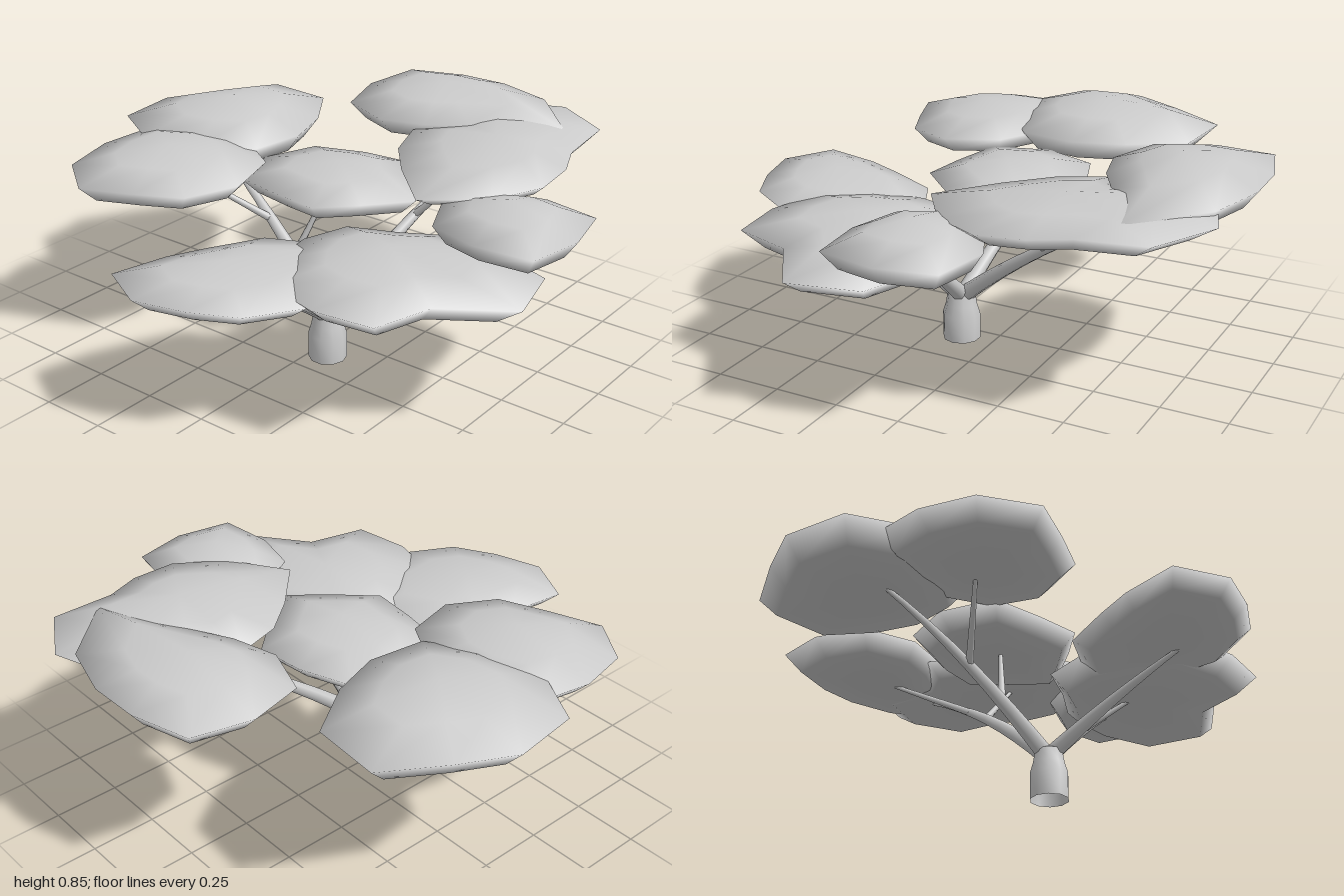
import * as THREE from 'three';
import { toCreasedNormals } from 'three/addons/utils/BufferGeometryUtils.js';

const material = new THREE.MeshStandardMaterial({ color: 0xcccccc, side: THREE.DoubleSide });
const FORK = new THREE.Vector3(-0.125, 0.17, 0.068);

function add(group, name, geometry) {
  const mesh = new THREE.Mesh(geometry, material);
  mesh.name = name;
  group.add(mesh);
}

// Flat-bottomed dome of foliage. Radii are spaced evenly around the peak,
// clockwise from the back, and scaled through a few levels up to the peak.
function foliageLobe([px, py, pz], bottom, radii, tilt = 0) {
  const n = radii.length;
  const rim = bottom + (py - bottom) * 0.48;
  const levels = [[0.4, bottom], [0.82, bottom + 0.008], [1, rim], [0.55, rim + (py - rim) * 0.58]];
  const positions = [], index = [];
  for (const [scale, y] of levels) {
    radii.forEach((radius, i) => {
      const angle = (i / n) * Math.PI * 2;
      const dx = radius * scale * Math.sin(angle);
      positions.push(px + dx, y + dx * tilt, pz - radius * scale * Math.cos(angle));
    });
  }
  const low = levels.length * n, high = low + 1, top = low - n;
  positions.push(px, bottom, pz, px, py, pz);
  for (let i = 0; i < n; i++) {
    const j = (i + 1) % n;
    index.push(low, i, j, high, top + j, top + i);
    for (let k = 0; k < top; k += n) {
      index.push(k + i, k + i + n, k + j, k + j, k + i + n, k + j + n);
    }
  }
  const geometry = new THREE.BufferGeometry();
  geometry.setAttribute('position', new THREE.Float32BufferAttribute(positions, 3));
  geometry.setIndex(index);
  geometry.computeVertexNormals();
  return geometry;
}

// Path between two points, lifted in the middle.
function bowedPath(start, end, lift) {
  const middle = start.clone().lerp(end, 0.5);
  middle.y += lift;
  return new THREE.QuadraticBezierCurve3(start, middle, end);
}

// Tube that narrows from r0 to r1 along its path.
function taperedTube(curve, r0, r1) {
  const steps = 8, sides = 7;
  const geometry = new THREE.TubeGeometry(curve, steps, 1, sides, false);
  const pos = geometry.attributes.position;
  const v = new THREE.Vector3();
  for (let i = 0; i < pos.count; i++) {
    const t = Math.floor(i / (sides + 1)) / steps;
    const centre = curve.getPointAt(t);
    v.fromBufferAttribute(pos, i).sub(centre).multiplyScalar(r0 + (r1 - r0) * t).add(centre);
    pos.setXYZ(i, v.x, v.y, v.z);
  }
  return geometry;
}

// A limb rising from the fork, with twigs leaving it part of the way along.
function limb(name, end, lift, twigs) {
  const group = new THREE.Group();
  group.name = name;
  const path = bowedPath(FORK, new THREE.Vector3(...end), lift);
  add(group, name + 'Stem', taperedTube(path, 0.033, 0.008));
  for (const [t, ...tip] of twigs) {
    const twig = bowedPath(path.getPointAt(t), new THREE.Vector3(...tip), 0);
    add(group, name + 'Twig', taperedTube(twig, 0.015, 0.007));
  }
  return group;
}

export function createModel() {
  const tree = new THREE.Group();
  tree.name = 'flatToppedTree';

  // Trunk, open at the foot, with a shoulder below the fork
  const profile = [[0.072, 0], [0.072, 0.1], [0.06, 0.14], [0.052, 0.19], [0, 0.215]];
  const trunk = new THREE.LatheGeometry(profile.map((p) => new THREE.Vector2(...p)), 10);
  trunk.translate(-0.13, 0, 0.068);
  add(tree, 'trunk', toCreasedNormals(trunk, 0.9));

  // Limbs: end point, lift, then twigs as position along the limb and tip
  tree.add(
    limb('leftSideLimb', [0.66, 0.69, 0.28], 0.08, [[0.52, 0.3, 0.68, 0.38], [0.65, 0.7, 0.71, 0.05]]),
    limb('backLimb', [0.05, 0.65, -0.65], 0.08, [[0.5, -0.27, 0.65, -0.5], [0.3, 0.01, 0.6, -0.04]]),
    limb('rightSideLimb', [-0.65, 0.49, 0.18], 0.03, [[0.42, -0.31, 0.49, 0.35]]),
    limb('frontLimb', [-0.08, 0.6, 0.66], 0.04, [[0.4, -0.28, 0.49, 0.42]]),
  );

  // Canopy: each lobe as peak, bottom height, radii and slope along x
  const lobes = {
    backRightFoliage: [[-0.33, 0.77, -0.52], 0.62,
      [0.34, 0.38, 0.34, 0.34, 0.36, 0.35, 0.32, 0.28, 0.36, 0.36], 0.05],
    backLeftFoliage: [[0.15, 0.81, -0.62], 0.63,
      [0.38, 0.34, 0.44, 0.42, 0.33, 0.33, 0.37, 0.36, 0.4, 0.43]],
    middleFoliage: [[0.03, 0.72, 0], 0.58,
      [0.36, 0.35, 0.29, 0.31, 0.27, 0.34, 0.26, 0.29, 0.27, 0.37]],
    leftBackFoliage: [[0.7, 0.85, 0], 0.69,
      [0.36, 0.39, 0.31, 0.315, 0.4, 0.55, 0.28, 0.26, 0.31, 0.37], 0.05],
    leftFrontFoliage: [[0.45, 0.79, 0.4], 0.665,
      [0.37, 0.3, 0.5, 0.52, 0.45, 0.28, 0.3, 0.36, 0.42, 0.51, 0.38, 0.36], 0.055],
    frontFoliage: [[0.06, 0.74, 0.71], 0.58,
      [0.28, 0.24, 0.25, 0.3, 0.26, 0.31, 0.24, 0.27]],
    rightBackFoliage: [[-0.68, 0.6, 0.06], 0.48,
      [0.26, 0.25, 0.36, 0.5, 0.42, 0.36, 0.31, 0.28, 0.335, 0.37], -0.03],
    rightFrontFoliage: [[-0.28, 0.62, 0.45], 0.465,
      [0.37, 0.37, 0.3, 0.35, 0.4, 0.52, 0.52, 0.33, 0.45, 0.42, 0.42, 0.38], -0.02],
  };
  for (const [name, shape] of Object.entries(lobes)) add(tree, name, foliageLobe(...shape));

  return tree;
}
